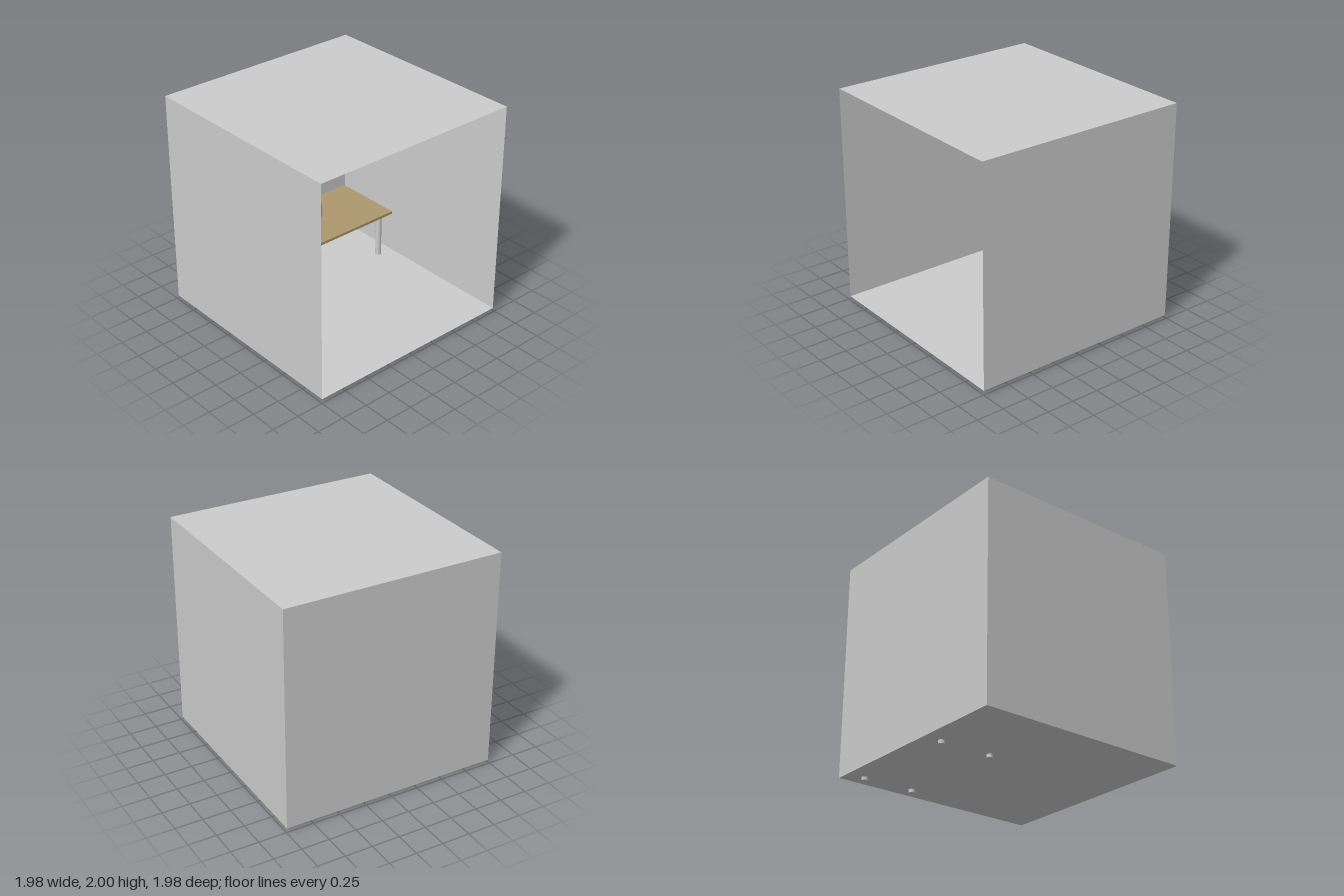
import * as THREE from 'three';

const grey = new THREE.MeshStandardMaterial({ color: 0xcccccc });
const greyThin = new THREE.MeshStandardMaterial({ color: 0xcccccc, side: THREE.DoubleSide });
const bronze = new THREE.MeshStandardMaterial({ color: 0xbfa08c });
const bronzeThin = new THREE.MeshStandardMaterial({ color: 0xbfa08c, side: THREE.DoubleSide });
const wood = new THREE.MeshStandardMaterial({ color: 0xad976d });

function add(parent, name, geometry, material, x = 0, y = 0, z = 0) {
  const mesh = new THREE.Mesh(geometry, material);
  mesh.name = name;
  mesh.position.set(x, y, z);
  parent.add(mesh);
  return mesh;
}

function addGroup(parent, name, x, y, z) {
  const group = new THREE.Group();
  group.name = name;
  group.position.set(x, y, z);
  parent.add(group);
  return group;
}

const FLOOR = 0.03;

// Thin-walled room, open on its left (+x) side
function buildRoom(parent) {
  const geo = new THREE.BoxGeometry(1.98, 2 - FLOOR, 1.98);
  geo.setIndex(Array.from(geo.index.array).slice(6));
  geo.clearGroups();
  add(parent, 'room', geo, greyThin, 0, (2 + FLOOR) / 2, 0);
}

// Uplight floor lamp: domed base, pole, open conical shade
function buildLamp(parent) {
  const lamp = addGroup(parent, 'floorLamp', -0.61, 0, 0.643);
  const dome = new THREE.SphereGeometry(1, 48, 16, 0, Math.PI * 2, 0, Math.PI / 2);
  dome.scale(0.245, 0.072, 0.245);
  add(lamp, 'lampBase', dome, bronze, 0, FLOOR, 0);
  add(lamp, 'lampPole', new THREE.CylinderGeometry(0.024, 0.024, 1.38, 32), bronze, 0, 0.77, 0);
  add(lamp, 'lampShade', new THREE.CylinderGeometry(0.286, 0.024, 0.158, 64, 1, true), bronzeThin, 0, 1.537, 0);
}

// Table whose legs pass through the floor
function buildTable(parent) {
  const table = addGroup(parent, 'table', -0.59, 0, 0);
  add(table, 'tableTop', new THREE.BoxGeometry(0.67, 0.025, 1.26), wood, 0, 0.4855, -0.29);
  for (const x of [-0.24, 0.24]) {
    for (const z of [0.222, -0.843]) {
      add(table, 'tableLeg', new THREE.CylinderGeometry(0.027, 0.027, 0.473, 32), grey, x, 0.2365, z);
    }
  }
}

// Egg standing on its blunt end
function buildEgg(parent) {
  const profile = new THREE.SplineCurve([
    [0, 0], [0.06, 0.008], [0.105, 0.045], [0.127, 0.095], [0.131, 0.14], [0.123, 0.205],
    [0.102, 0.275], [0.073, 0.33], [0.038, 0.362], [0, 0.372],
  ].map(([r, y]) => new THREE.Vector2(r, y)));
  const points = profile.getPoints(48);
  points.forEach((p) => { p.x = Math.max(p.x, 0); });
  add(parent, 'egg', new THREE.LatheGeometry(points, 48), grey, -0.59, 0.498, -0.194);
}

// Hollow spotlight can, open toward the egg
function buildSpotlight(parent) {
  const axis = new THREE.Vector3(0.025, -0.106, 0.218).normalize();
  const spot = addGroup(parent, 'spotlight', -0.67, 1.239, -0.83);
  spot.quaternion.setFromUnitVectors(new THREE.Vector3(0, 1, 0), axis);
  add(spot, 'spotlightCan', new THREE.CylinderGeometry(0.071, 0.071, 0.242, 40, 1, true), greyThin);
  const back = add(spot, 'spotlightBack', new THREE.CircleGeometry(0.071, 40), greyThin, 0, -0.121, 0);
  back.rotation.x = Math.PI / 2;
}

export function createModel() {
  const model = new THREE.Group();
  model.name = 'roomScene';
  buildRoom(model);
  buildLamp(model);
  buildTable(model);
  buildEgg(model);
  buildSpotlight(model);
  // Small block on the table, turned slightly
  const block = add(model, 'smallBlock', new THREE.BoxGeometry(0.086, 0.077, 0.086), grey, -0.5, 0.5365, 0.05);
  block.rotation.y = -0.36;
  return model;
}
